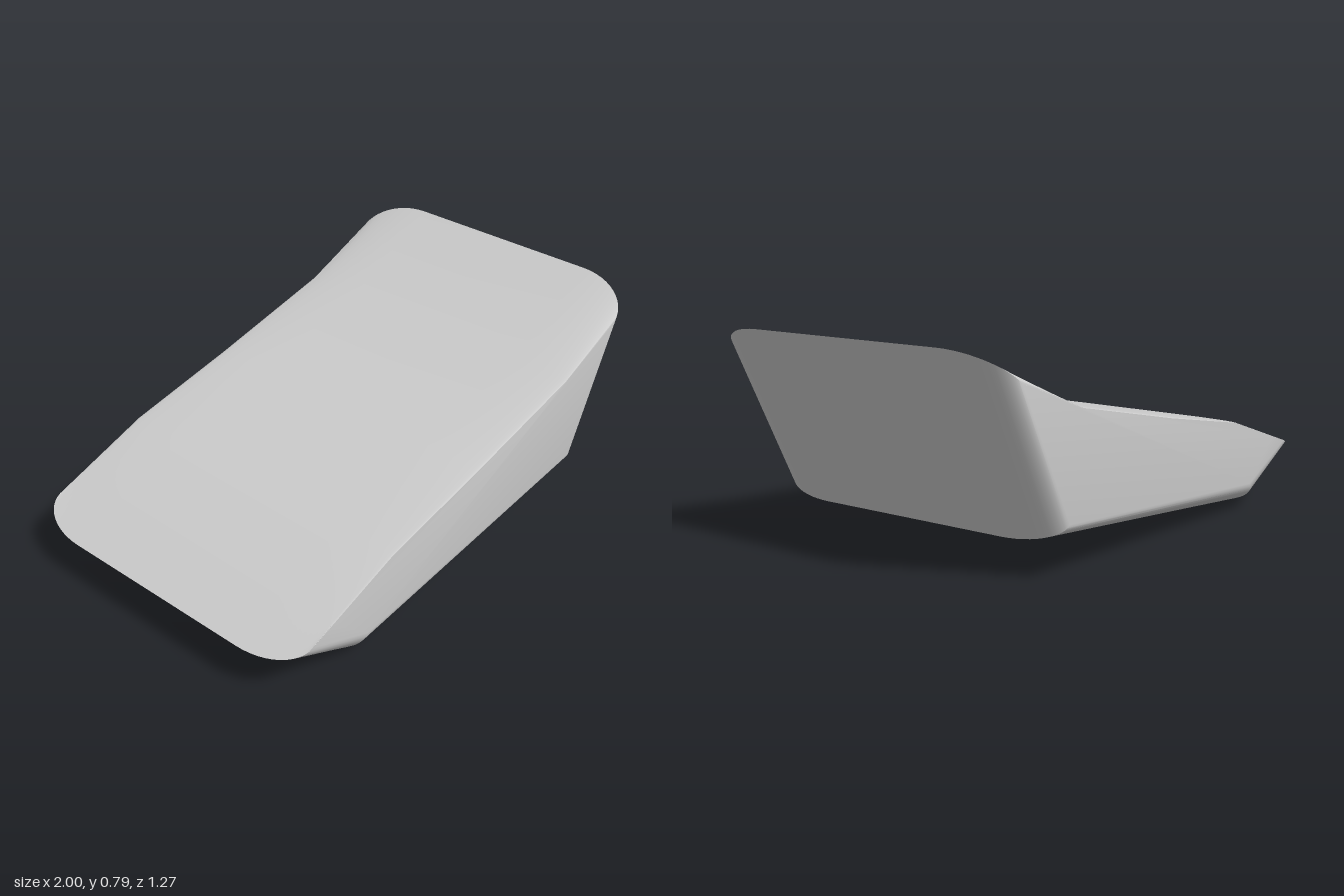
import * as THREE from 'three';
import { toCreasedNormals } from 'three/addons/utils/BufferGeometryUtils.js';

// Profile in x, y, counter-clockwise from the low tip: in the middle and at the flat sides
const MIDDLE = [[-1, 0.19], [-0.67, 0.005], [0.685, 0.137], [1, 0.795], [0.55, 0.58], [0, 0.47], [-0.47, 0.378], [-0.78, 0.275]];
const SIDE = [[-0.88, 0.24], [-0.6, 0.11], [0.62, 0.2], [0.87, 0.69], [0.55, 0.572], [0, 0.458], [-0.47, 0.372], [-0.78, 0.272]];
const FLAT = 0.4, ROUND = 0.234, STEPS = 12;

// Loft the profile along z, rounding both ends by a quarter ellipse
function hullGeometry() {
  const rows = [];
  for (let i = 0; i <= STEPS; i++) {
    const a = (i / STEPS) * Math.PI / 2;
    rows.push([FLAT + ROUND * Math.sin(a), Math.cos(a)]);
  }
  const rings = [...rows.map(([z, k]) => [-z, k]).reverse(), ...rows];
  const positions = [], index = [], n = MIDDLE.length;
  for (const [z, k] of rings) {
    MIDDLE.forEach((p, j) => positions.push(
      THREE.MathUtils.lerp(SIDE[j][0], p[0], k),
      THREE.MathUtils.lerp(SIDE[j][1], p[1], k), z));
  }
  for (let i = 0; i < rings.length - 1; i++) {
    for (let j = 0; j < n; j++) {
      const a = i * n + j, b = i * n + (j + 1) % n;
      index.push(a, b, b + n, a, b + n, a + n);
    }
  }
  // Flat sides
  const last = (rings.length - 1) * n;
  const faces = THREE.ShapeUtils.triangulateShape(SIDE.map(([x, y]) => new THREE.Vector2(x, y)), []);
  for (const [a, b, c] of faces) {
    index.push(last + a, last + b, last + c, a, c, b);
  }
  const geometry = new THREE.BufferGeometry();
  geometry.setAttribute('position', new THREE.Float32BufferAttribute(positions, 3));
  geometry.setIndex(index);
  return toCreasedNormals(geometry, 0.5);
}

export function createModel() {
  const group = new THREE.Group();
  group.name = 'slopedBlock';
  const lightGrey = new THREE.MeshStandardMaterial({ color: 0xcccccc });
  lightGrey.name = 'light grey';
  const hull = new THREE.Mesh(hullGeometry(), lightGrey);
  hull.name = 'hull';
  group.add(hull);
  return group;
}
